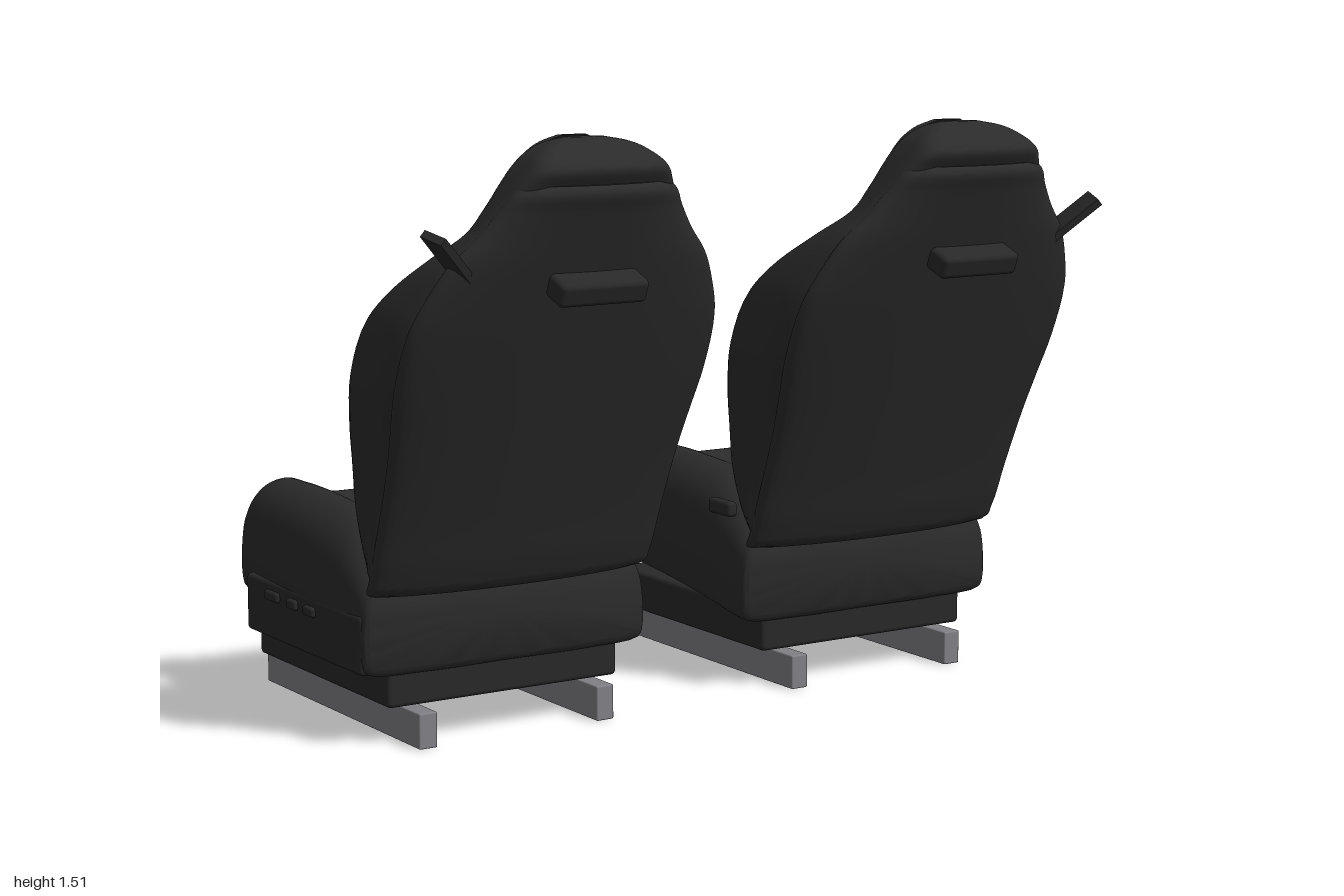
import * as THREE from 'three';
import { toCreasedNormals } from 'three/addons/utils/BufferGeometryUtils.js';
import { RoundedBoxGeometry } from 'three/addons/geometries/RoundedBoxGeometry.js';

const black = new THREE.MeshStandardMaterial({ color: 0x2b2b2b });
const trim = new THREE.MeshStandardMaterial({ color: 0x282828 });
const steel = new THREE.MeshStandardMaterial({ color: 0x808085 });

// Height of the sloping rear surface, as z for a given y
const rearZ = (y) => 0.24 + (y - 0.39) * 0.41;

// Skin a stack of rings and close both ends
function loft(rings) {
  const n = rings[0].length, pos = [], idx = [];
  rings.forEach((r) => r.forEach((p) => pos.push(p.x, p.y, p.z)));
  for (let i = 0; i < rings.length - 1; i++) {
    for (let j = 0; j < n; j++) {
      const k = (j + 1) % n;
      const a = i * n + j, b = i * n + k, c = b + n, d = a + n;
      idx.push(a, b, c, a, c, d);
    }
  }
  [0, rings.length - 1].forEach((i) => {
    const mid = new THREE.Vector3();
    rings[i].forEach((p) => mid.addScaledVector(p, 1 / n));
    const m = pos.length / 3;
    pos.push(mid.x, mid.y, mid.z);
    for (let j = 0; j < n; j++) {
      const a = i * n + j, b = i * n + (j + 1) % n;
      idx.push(m, ...(i === 0 ? [b, a] : [a, b]));
    }
  });
  const g = new THREE.BufferGeometry();
  g.setAttribute('position', new THREE.Float32BufferAttribute(pos, 3));
  g.setIndex(idx);
  return toCreasedNormals(g, 0.8);
}

// rows: [station, ...values], smoothly interpolated along the station;
// half(values) gives half a section as [x, depth], from upholstered centre to hidden centre
function softLoft(rows, half, place, steps = 4, points = 88) {
  const size = rows[0].length;
  const smooth = new THREE.CubicInterpolant(
    new Float32Array(rows.map((r) => r[0])), new Float32Array(rows.flat()), size);
  const rings = [];
  for (let i = 0; i < rows.length; i++) {
    const last = i === rows.length - 1;
    for (let k = 0; k < (last ? 1 : steps); k++) {
      const s = last ? rows[i][0] : rows[i][0] + (rows[i + 1][0] - rows[i][0]) * k / steps;
      const v = last ? rows[i] : Array.from(smooth.evaluate(s));
      const h = half(v.slice(1));
      const loop = [...h.map(([x, d]) => [-x, d]), ...h.slice(1, -1).reverse()];
      const curve = new THREE.CatmullRomCurve3(loop.map(([x, d]) => place(x, d, s)), true);
      rings.push(curve.getPoints(points).slice(0, -1));
    }
  }
  return loft(rings);
}
const upright = (x, d, s) => new THREE.Vector3(x, s, d);
const lengthwise = (x, d, s) => new THREE.Vector3(x, d, s);

// Thin padded slab: half width w, from depth a to depth b
const slab = ([w, a, b]) => [
  [0, a], [w * 0.5, a], [w * 0.92, a], [w, a + (b - a) * 0.3], [w, b], [w * 0.5, b], [0, b]];

// Backrest: half width, bolster front, centre front, rear
function backrestGeometry() {
  const rows = [
    [0.39, 0.37, 0.12, 0.14], [0.42, 0.395, 0.1, 0.11], [0.55, 0.4, 0, 0.06],
    [0.7, 0.405, -0.03, 0.115], [0.8, 0.415, -0.03, 0.16], [0.92, 0.428, 0, 0.215],
    [1.06, 0.42, 0.08, 0.285], [1.14, 0.39, 0.17, 0.325], [1.22, 0.345, 0.3, 0.37],
    [1.28, 0.29, 0.385, 0.4], [1.34, 0.245, 0.405, 0.41],
  ].map((r) => [...r, rearZ(r[0]) - 0.04]);
  rows.push([1.4, 0.207, 0.42, 0.42, 0.628], [1.44, 0.18, 0.435, 0.435, 0.645],
    [1.47, 0.15, 0.455, 0.455, 0.612], [1.495, 0.1, 0.48, 0.48, 0.57], [1.505, 0.05, 0.5, 0.5, 0.54]);
  return softLoft(rows, ([w, f, c, r]) => {
    const d = r - f;
    return [[0, c], [0.35 * w, c], [0.51 * w, c - (c - f) * 0.08], [0.6 * w, c - (c - f) * 0.72],
      [0.69 * w, f], [0.8 * w, f + 0.03 * d], [0.89 * w, f + 0.14 * d], [0.95 * w, f + 0.4 * d],
      [w, f + 0.76 * d], [0.9 * w, f + 0.9 * d], [0.6 * w, r - 0.01], [0, r]];
  }, upright);
}

// Bowed panel over the rear of the backrest
function rearShellGeometry() {
  const rows = [[0.385, 0.38, 0.02], [0.395, 0.395, 0.006], [0.42, 0.398, 0], [0.55, 0.401, 0],
    [0.7, 0.407, 0], [0.8, 0.417, 0], [0.92, 0.43, 0], [1.06, 0.422, 0], [1.14, 0.392, 0],
    [1.22, 0.347, 0], [1.28, 0.292, 0], [1.34, 0.247, 0], [1.385, 0.217, 0], [1.4, 0.203, 0.014]]
    .map(([y, w, inset]) => [y, w, rearZ(y) - inset]);
  return softLoft(rows, ([w, r]) => [[0, r - 0.1], [0.5 * w, r - 0.1], [0.92 * w, r - 0.1],
    [w, r - 0.085], [0.98 * w, r - 0.06], [0.86 * w, r - 0.037], [0.5 * w, r - 0.01], [0, r]], upright);
}

// Cushion: half width, bolster top, centre top, bottom
function cushionGeometry() {
  return softLoft([
    [-0.62, 0.335, 0.46, 0.44, 0.3], [-0.612, 0.358, 0.5, 0.465, 0.275], [-0.59, 0.369, 0.54, 0.49, 0.265],
    [-0.54, 0.379, 0.565, 0.505, 0.262], [-0.42, 0.392, 0.577, 0.492, 0.25], [-0.2, 0.4, 0.575, 0.475, 0.23],
    [0, 0.4, 0.545, 0.46, 0.2], [0.08, 0.4, 0.49, 0.45, 0.185], [0.13, 0.4, 0.445, 0.42, 0.18],
    [0.15, 0.398, 0.42, 0.405, 0.183], [0.16, 0.388, 0.4, 0.39, 0.2],
  ], ([w, t, c, b]) => {
    const d = t - b;
    return [[0, c], [0.38 * w, c], [0.54 * w, c + (t - c) * 0.15], [0.64 * w, c + (t - c) * 0.8],
      [0.73 * w, t], [0.86 * w, t - 0.06 * d], [0.96 * w, t - 0.22 * d], [w, t - 0.5 * d],
      [0.998 * w, b + 0.12 * d], [0.97 * w, b + 0.01], [0.6 * w, b], [0, b]];
  }, lengthwise);
}

// Raised centre panels and head pad
const backInsertGeometry = () => softLoft([
  [0.46, 0.19, 0.1], [0.55, 0.195, 0.06], [0.7, 0.2, 0.115], [0.8, 0.208, 0.16], [0.92, 0.214, 0.215],
  [1.06, 0.208, 0.285], [1.14, 0.196, 0.325], [1.2, 0.182, 0.36], [1.222, 0.168, 0.38],
].map(([y, w, z]) => [y, w, z - 0.012, z + 0.04]), slab, upright);

const cushionInsertGeometry = () => softLoft([
  [-0.565, 0.18, 0.485], [-0.545, 0.205, 0.503], [-0.42, 0.215, 0.492], [-0.2, 0.215, 0.475],
  [0, 0.205, 0.46], [0.07, 0.19, 0.445],
].map(([z, w, y]) => [z, w, y + 0.012, y - 0.04]), slab, lengthwise);

// Thin curved pad with a flat lower edge and round top
const headPadGeometry = () => softLoft([
  [1.29, 0.125, 0.386, 0.405], [1.297, 0.138, 0.378, 0.41], [1.35, 0.142, 0.376, 0.412],
  [1.4, 0.137, 0.388, 0.42], [1.44, 0.122, 0.403, 0.432], [1.47, 0.1, 0.418, 0.445],
  [1.492, 0.072, 0.435, 0.465], [1.507, 0.035, 0.455, 0.478],
], slab, upright);

// One seat; side is +1 or -1 and picks which way is outboard
function createSeat(side) {
  const seat = new THREE.Group();
  const add = (name, geometry, material, x = 0, y = 0, z = 0) => {
    const mesh = new THREE.Mesh(geometry, material);
    mesh.name = name;
    mesh.position.set(x, y, z);
    seat.add(mesh);
    return mesh;
  };
  const block = (w, h, d, r) => new RoundedBoxGeometry(w, h, d, 3, r);

  add('backrest', backrestGeometry(), black);
  add('rearShell', rearShellGeometry(), black);
  add('backrestInsert', backInsertGeometry(), black);
  add('headPad', headPadGeometry(), black);
  add('headPadSlot', block(0.29, 0.035, 0.05, 0.012), trim, 0, 1.255, 0.402);
  add('cushion', cushionGeometry(), black);
  add('cushionInsert', cushionInsertGeometry(), black);

  // Grab handle on the rear
  add('rearHandle', block(0.24, 0.06, 0.1, 0.014), trim, 0, 1.16, 0.57).rotation.x = 0.39;

  // Mount and floor rails
  add('base', block(0.66, 0.11, 0.72, 0.012), trim, 0, 0.15, -0.225);
  for (const x of [-0.255, 0.255]) add('rail', block(0.05, 0.09, 0.845, 0.004), steel, x, 0.045, -0.2225);

  // Outboard control panel with buttons, inboard buckle
  add('sidePanel', block(0.05, 0.15, 0.64, 0.012), trim, side * 0.379, 0.26, -0.185);
  for (const [z, length] of [[-0.135, 0.055], [-0.23, 0.05], [-0.345, 0.075]]) {
    add('controlButton', block(0.03, 0.026, length, 0.008), trim, side * 0.4, 0.3, z);
  }
  add('buckle', block(0.03, 0.04, 0.1, 0.01), trim, -side * 0.388, 0.475, 0.03);

  // Belt strap leaving the shoulder
  const along = new THREE.Vector3(side * 0.11, 0.1, 0.06).normalize();
  const across = new THREE.Vector3().crossVectors(along, new THREE.Vector3(-side * 0.62, 0.75, 0)).normalize();
  const face = new THREE.Vector3().crossVectors(across, along);
  const strap = add('beltStrap', new THREE.BoxGeometry(0.17, 0.02, 0.068), trim, side * 0.365, 1.24, 0.525);
  strap.quaternion.setFromRotationMatrix(new THREE.Matrix4().makeBasis(along, face, across));
  return seat;
}

export function createModel() {
  const model = new THREE.Group();
  model.name = 'frontSeats';
  for (const side of [-1, 1]) {
    const seat = createSeat(side);
    seat.name = side > 0 ? 'leftSeat' : 'rightSeat';
    seat.position.x = side * 0.558;
    model.add(seat);
  }
  return model;
}
